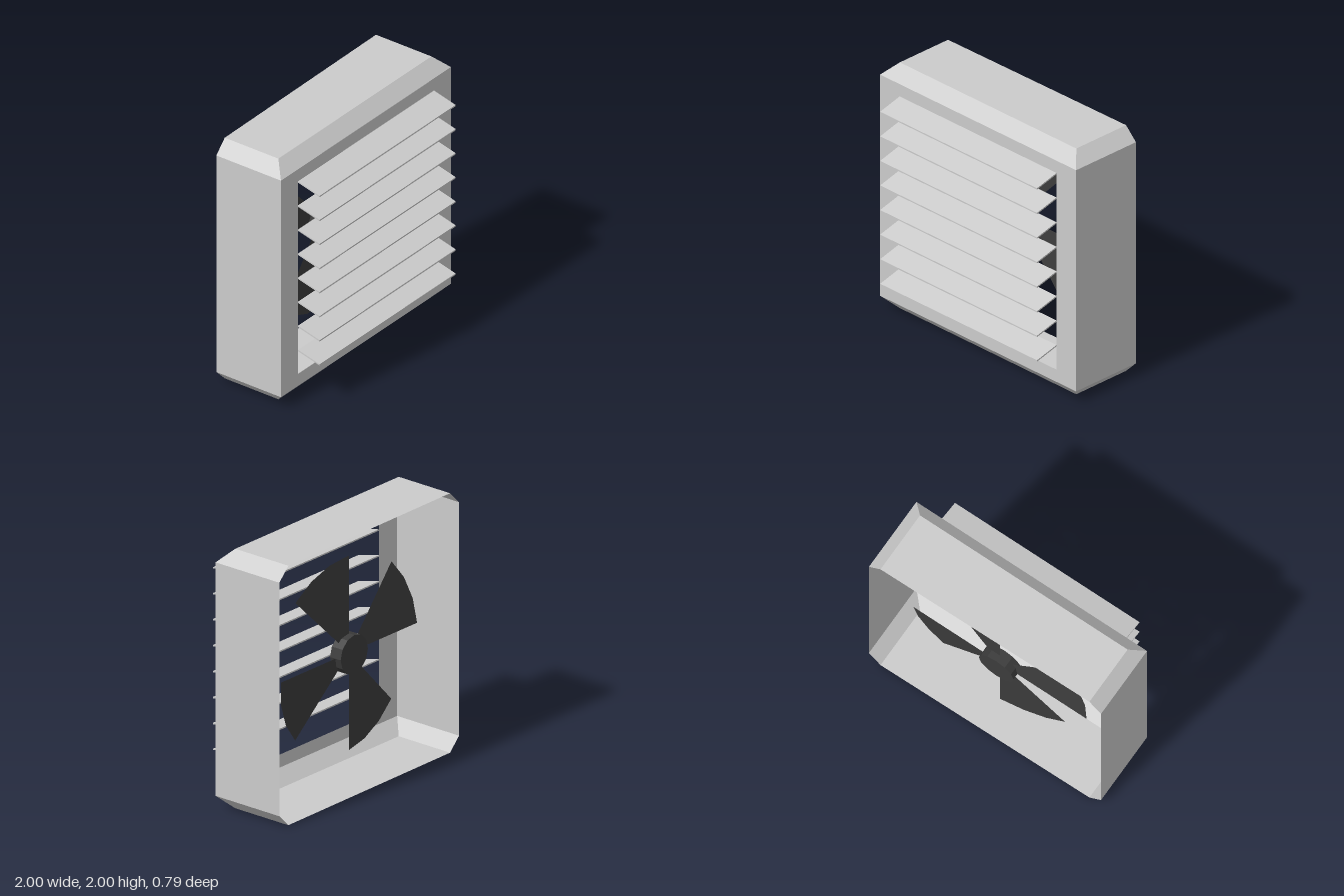
import * as THREE from 'three';

const grey = new THREE.MeshStandardMaterial({ color: 0xcccccc, flatShading: true, side: THREE.DoubleSide });
const dark = new THREE.MeshStandardMaterial({ color: 0x3c3c3c, flatShading: true, side: THREE.DoubleSide });

function addMesh(parent, name, geometry, material) {
  const mesh = new THREE.Mesh(geometry, material);
  mesh.name = name;
  parent.add(mesh);
  return mesh;
}

// Flat-sided surface from a list of four-cornered faces
function quads(list) {
  const pos = list.flatMap(([a, b, c, d]) => [a, b, c, a, c, d].flat());
  const geo = new THREE.BufferGeometry();
  geo.setAttribute('position', new THREE.Float32BufferAttribute(pos, 3));
  geo.computeVertexNormals();
  return geo;
}

// Open-backed shell: octagonal outline, top and bottom front edges bevelled
function createHousing() {
  const housing = new THREE.Group();
  housing.name = 'housing';
  const outline = [[1, 0.1], [1, 1.9], [0.9, 2], [-0.9, 2], [-1, 1.9], [-1, 0.1], [-0.9, 0], [0.9, 0]];
  const front = outline.map(([x, y]) => [x, y, Math.abs(x) === 1 ? 0.2 : 0.1]);
  // the rear rim is very slightly skewed
  const back = outline.map(([x, y]) => [x, y, -0.39 - 0.009 * x]);
  const walls = outline.map((_, i) => {
    const j = (i + 1) % 8;
    return [front[i], back[i], back[j], front[j]];
  });
  addMesh(housing, 'walls', quads(walls), grey);
  addMesh(housing, 'bevels', quads([front.slice(1, 5), [front[5], front[6], front[7], front[0]]]), grey);

  // Front panel with a rectangular opening
  const rect = (Type, x, y0, y1) => new Type([[-x, y0], [x, y0], [x, y1], [-x, y1]].map(p => new THREE.Vector2(...p)));
  const panel = rect(THREE.Shape, 1, 0.1, 1.9);
  panel.holes.push(rect(THREE.Path, 0.8, 0.2, 1.8));
  addMesh(housing, 'frontPanel', new THREE.ShapeGeometry(panel), grey).position.z = 0.2;
  return housing;
}

// Eight sloping slats in front of the opening
function createLouvre() {
  const louvre = new THREE.Group();
  louvre.name = 'louvre';
  const section = new THREE.Shape([[0.2, 0], [0.395, -0.05], [0.395, -0.061], [0.2, -0.011]].map(p => new THREE.Vector2(...p)));
  const slat = new THREE.ExtrudeGeometry(section, { depth: 1.6, bevelEnabled: false });
  slat.rotateY(-Math.PI / 2).translate(0.8, 0, 0);
  for (let i = 0; i < 8; i++) {
    addMesh(louvre, 'slat', slat, grey).position.y = 1.8 - 0.2 * i;
  }
  return louvre;
}

// Four thin pitched sector blades around a short hub
function createFan() {
  const fan = new THREE.Group();
  fan.name = 'fan';
  fan.position.set(0, 1, -0.2);
  addMesh(fan, 'hub', new THREE.CylinderGeometry(0.15, 0.15, 0.1, 12).rotateX(Math.PI / 2), dark);
  const blade = new THREE.CircleGeometry(0.75, 3, Math.PI / 4, Math.PI / 4);
  blade.rotateY(-0.1);
  for (let i = 0; i < 4; i++) {
    addMesh(fan, 'blade', blade, dark).rotation.z = i * Math.PI / 2;
  }
  return fan;
}

export function createModel() {
  const model = new THREE.Group();
  model.name = 'ventilationFan';
  model.add(createHousing(), createLouvre(), createFan());
  return model;
}
